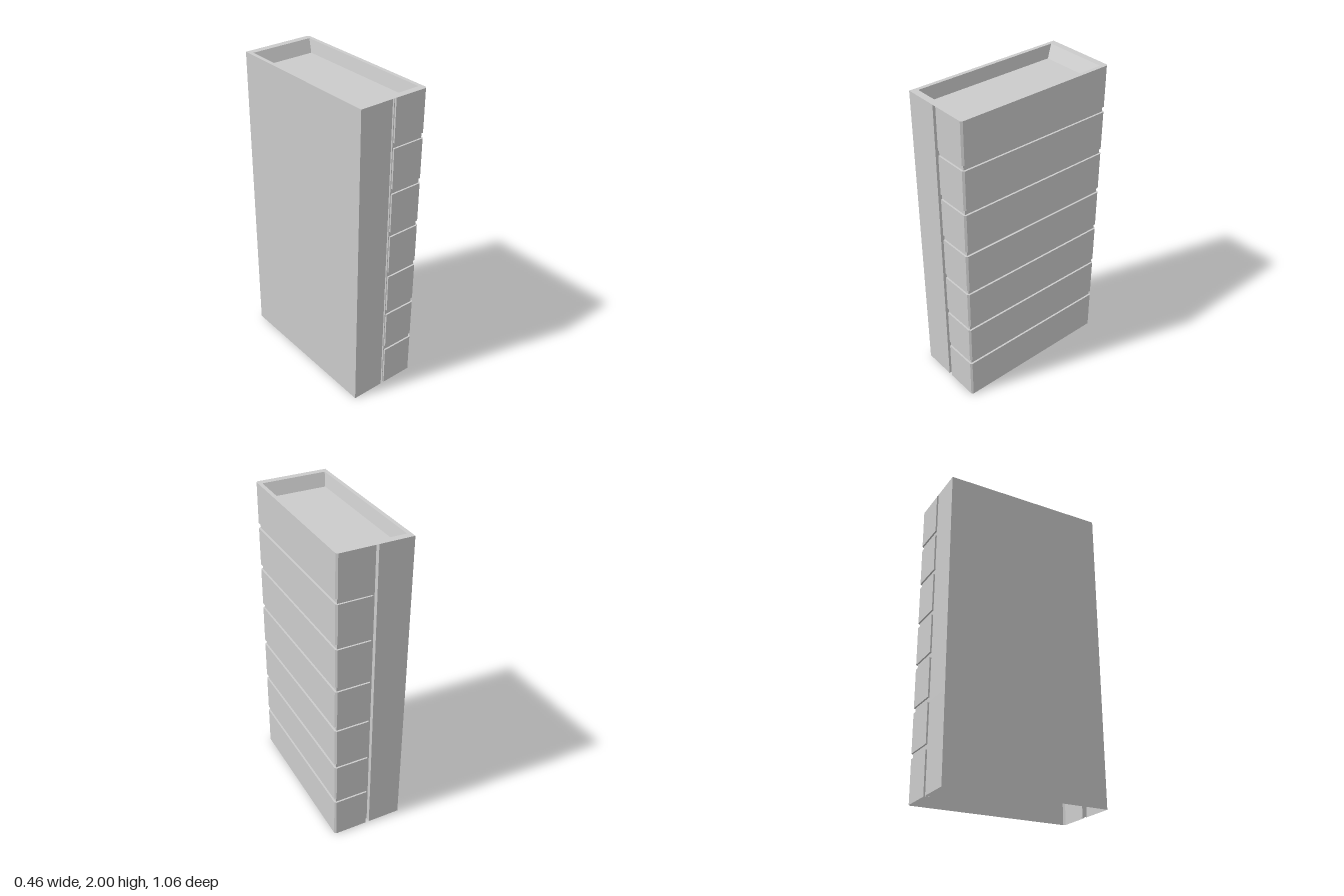
import * as THREE from 'three';

const material = new THREE.MeshStandardMaterial({ color: 0xcccccc, side: THREE.DoubleSide, flatShading: true });

// Mirrors a front half-plan of [x, z] points to the back, giving a closed outline
const mirrored = (half) => [...half, ...half.map(([x, z]) => [x, -z]).reverse()];

// Skins a stack of { plan, y } rings that share a point count
function loft(rings) {
  const pos = [];
  const triangle = (a, b, c) => {
    const area = new THREE.Triangle(a, b, c).getArea();
    if (area > 1e-7) pos.push(...a.toArray(), ...b.toArray(), ...c.toArray());
  };
  for (let r = 0; r < rings.length - 1; r++) {
    const lo = rings[r], hi = rings[r + 1], n = lo.plan.length;
    const at = (ring, i) => new THREE.Vector3(ring.plan[i % n][0], ring.y, ring.plan[i % n][1]);
    for (let i = 0; i < n; i++) {
      triangle(at(lo, i), at(lo, i + 1), at(hi, i + 1));
      triangle(at(lo, i), at(hi, i + 1), at(hi, i));
    }
  }
  const geometry = new THREE.BufferGeometry();
  geometry.setAttribute('position', new THREE.Float32BufferAttribute(pos, 3));
  geometry.computeVertexNormals();
  return geometry;
}

// Flat horizontal face from a plan, with an optional hole
function plate(plan, y, hole) {
  const points = (p) => p.map(([x, z]) => new THREE.Vector2(x, -z));
  const shape = new THREE.Shape(points(plan));
  if (hole) shape.holes.push(new THREE.Path(points(hole)));
  return new THREE.ShapeGeometry(shape).rotateX(-Math.PI / 2).translate(0, y, 0);
}

export function createModel() {
  const model = new THREE.Group();
  const add = (name, geometry) => {
    const mesh = new THREE.Mesh(geometry, material);
    mesh.name = name;
    model.add(mesh);
  };

  const W = 0.232, D = 0.53, H = 2, gap = 0.034;
  // Plain half, vertical groove, then the banded half with chamfered corners
  const start = [[-W, D], [-0.016, D], [-0.016, D - 0.03], [0.004, D - 0.03]];
  const band = mirrored([...start, [0.004, D - 0.011], [0.009, D - 0.011], [0.009, D], [W - 0.011, D], [W, D - 0.011]]);
  const inset = W - 0.012, back = D - 0.011;
  const recess = mirrored([...start, [0.004, back], [0.009, back], [0.009, back], [inset, back], [inset, back]]);

  // Seven cladding bands separated by six shallow joints, open underneath
  const rings = [{ plan: band, y: 0 }];
  for (let i = 1; i < 7; i++) {
    const y = 0.288 + (i - 1) * 0.286;
    rings.push(
      { plan: band, y: y - gap / 2 }, { plan: recess, y: y - gap / 2 },
      { plan: recess, y: y + gap / 2 }, { plan: band, y: y + gap / 2 });
  }
  rings.push({ plan: band, y: H });
  add('bandedWalls', loft(rings));

  // Parapet rim and the sunken roof with sloping sides
  const outline = mirrored([[-W, D], [W - 0.011, D], [W, D - 0.011]]);
  const opening = mirrored([[-0.207, 0.487], [0.207, 0.487]]);
  const floor = mirrored([[-0.192, 0.45], [0.192, 0.45]]);
  const floorY = 1.92;
  add('parapetRim', plate(outline, H, opening));
  add('parapetInnerWalls', loft([{ plan: opening, y: H }, { plan: floor, y: floorY }]));
  add('roofFloor', plate(floor, floorY));
  return model;
}
